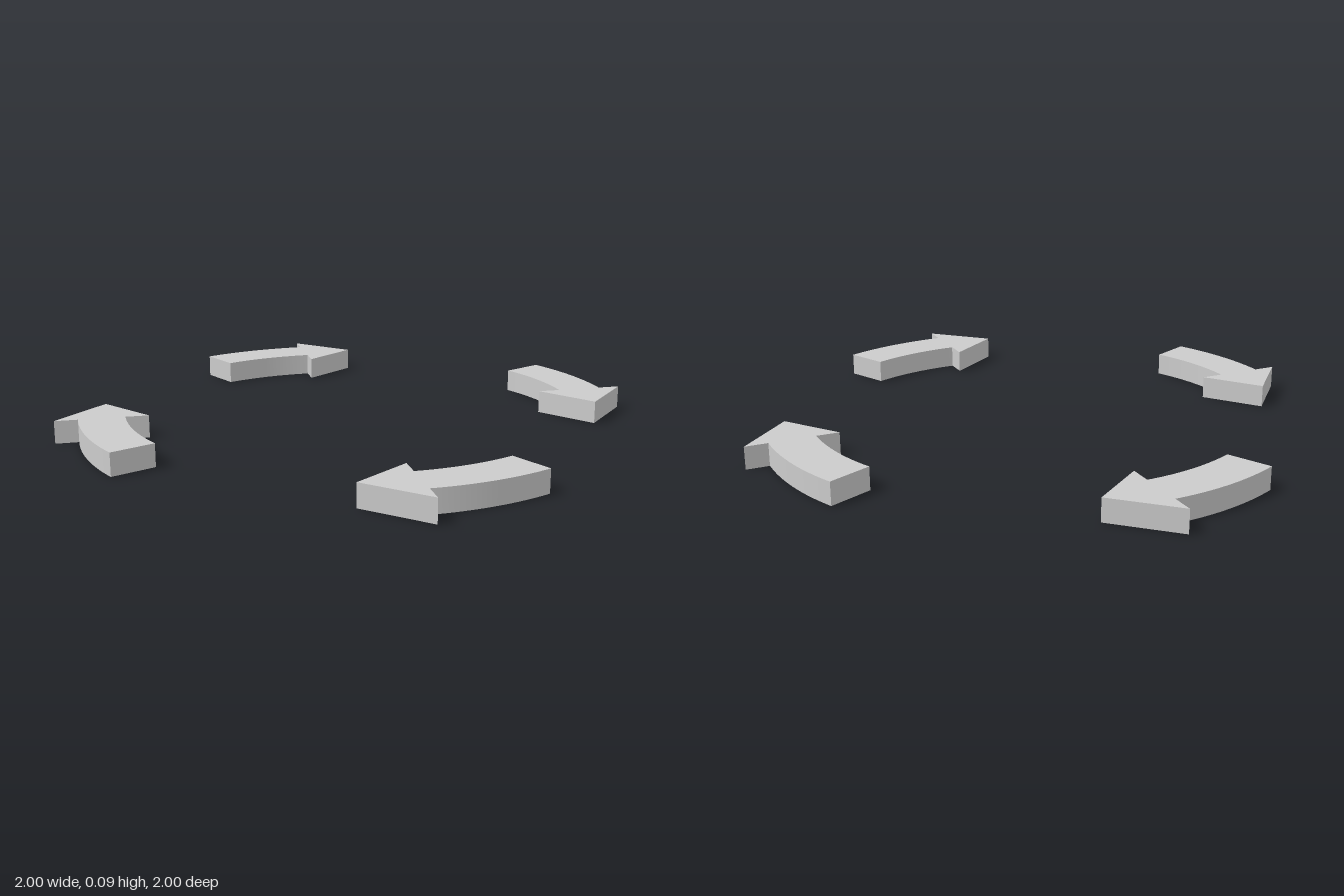
import * as THREE from 'three';
import { toCreasedNormals } from 'three/addons/utils/BufferGeometryUtils.js';

const UNIT = 0.0939; // arrow thickness; all radii are multiples of it
const deg = THREE.MathUtils.degToRad;

// Flat outline of one curved arrow, drawn around the origin
function arrowShape() {
  const start = deg(30), neck = deg(55), tip = deg(67.4);
  const shape = new THREE.Shape();
  const lineTo = (r, a) => shape.lineTo(r * UNIT * Math.cos(a), r * UNIT * Math.sin(a));

  // Outer edge of the shaft
  shape.absarc(0, 0, 12 * UNIT, start, neck, false);
  // Arrowhead
  lineTo(13, neck);
  lineTo(11, tip);
  lineTo(9, neck);
  // Inner edge of the shaft, back to the tail
  shape.absarc(0, 0, 10 * UNIT, neck, start, true);
  shape.closePath();
  return shape;
}

export function createModel() {
  const group = new THREE.Group();
  group.name = 'arrowRing';
  const material = new THREE.MeshStandardMaterial({ color: 0xcccccc });

  // Lay the extruded outline flat on the ground
  const extruded = new THREE.ExtrudeGeometry(arrowShape(), {
    depth: UNIT, bevelEnabled: false, curveSegments: 24,
  });
  extruded.rotateX(Math.PI / 2).translate(0, UNIT, 0);
  const geometry = toCreasedNormals(extruded, deg(20));

  // Four arrows, a quarter turn apart
  for (let i = 0; i < 4; i++) {
    const arrow = new THREE.Mesh(geometry, material);
    arrow.name = `curvedArrow${i + 1}`;
    arrow.rotation.y = i * Math.PI / 2;
    group.add(arrow);
  }
  return group;
}
